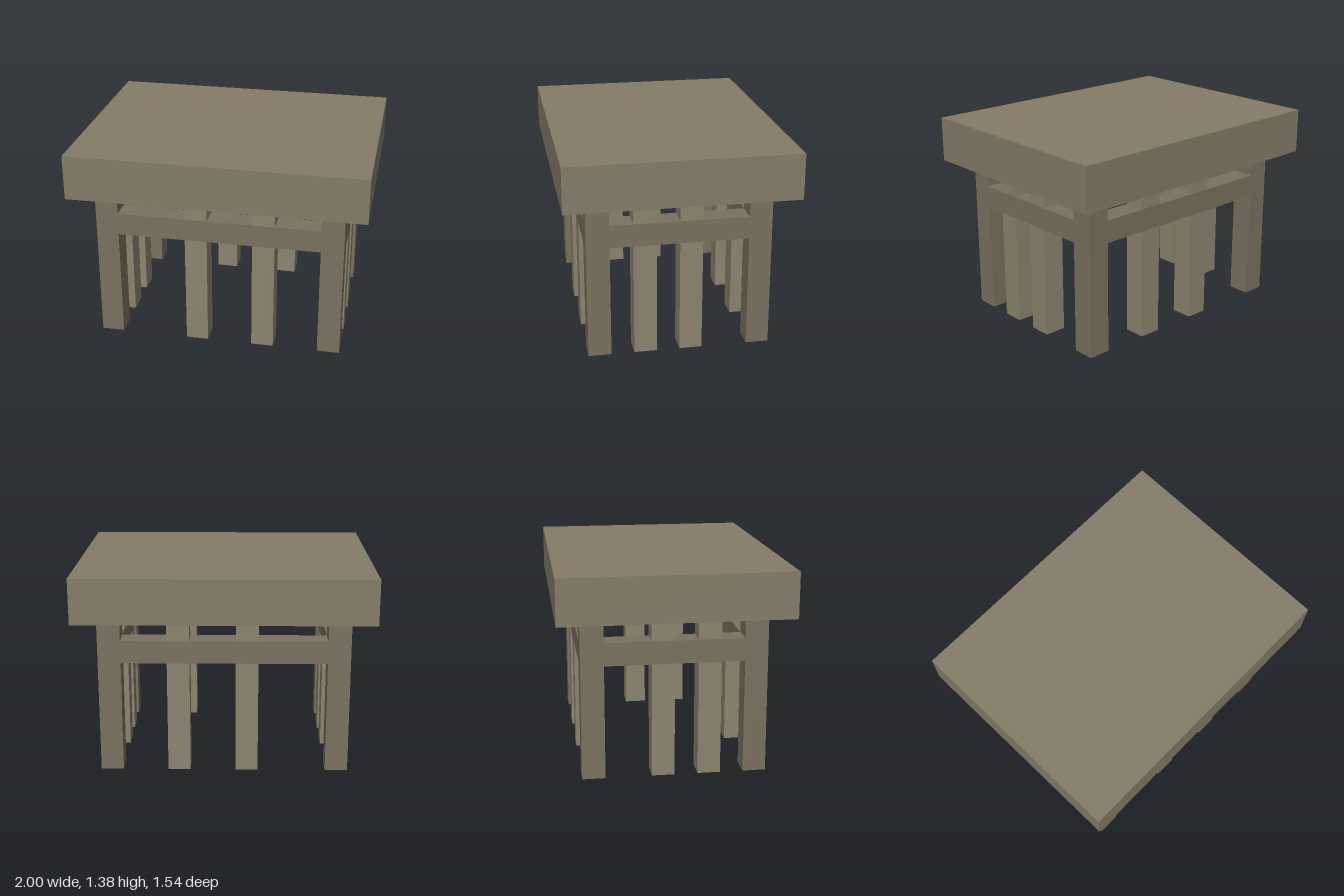
import * as THREE from 'three';

const U = 2 / 13; // all parts sit on a grid of 13 units across the top

export function createModel() {
  const model = new THREE.Group();
  const slabMat = new THREE.MeshStandardMaterial({ color: 0x857c68 });
  const frameMat = new THREE.MeshStandardMaterial({ color: 0x7a7260 });
  const postMat = new THREE.MeshStandardMaterial({ color: 0x8c846f });

  // Box given by centre x, z, bottom y and size, in grid units
  const box = (name, mat, [x, y, z], [w, h, d]) => {
    const mesh = new THREE.Mesh(new THREE.BoxGeometry(w * U, h * U, d * U), mat);
    mesh.position.set(x * U, (y + h / 2) * U, z * U);
    mesh.name = name;
    model.add(mesh);
  };

  // Thick top
  box('tableTop', slabMat, [0, 7, 0], [13, 2, 10]);

  const thin = 0.99; // posts sit a hair inside the rails
  for (const s of [-1, 1]) {
    // Corner legs
    for (const t of [-1, 1]) box('cornerLeg', frameMat, [s * 5, 0, t * 3.5], [1, 7, 1]);

    // Rails between the corner legs
    box('longRail', frameMat, [0, 5, s * 3.5], [9, 1, 1]);
    box('sideRail', frameMat, [s * 5, 5, 0], [1, 1, 6]);

    // Unevenly spaced posts under each rail
    for (const x of [-1, 2]) box('longSidePost', postMat, [x, 0, s * 3.5], [thin, 7, thin]);
    for (const z of [-0.5, 1.5]) box('shortSidePost', postMat, [s * 5, 0, z], [thin, 7, thin]);
  }
  return model;
}
